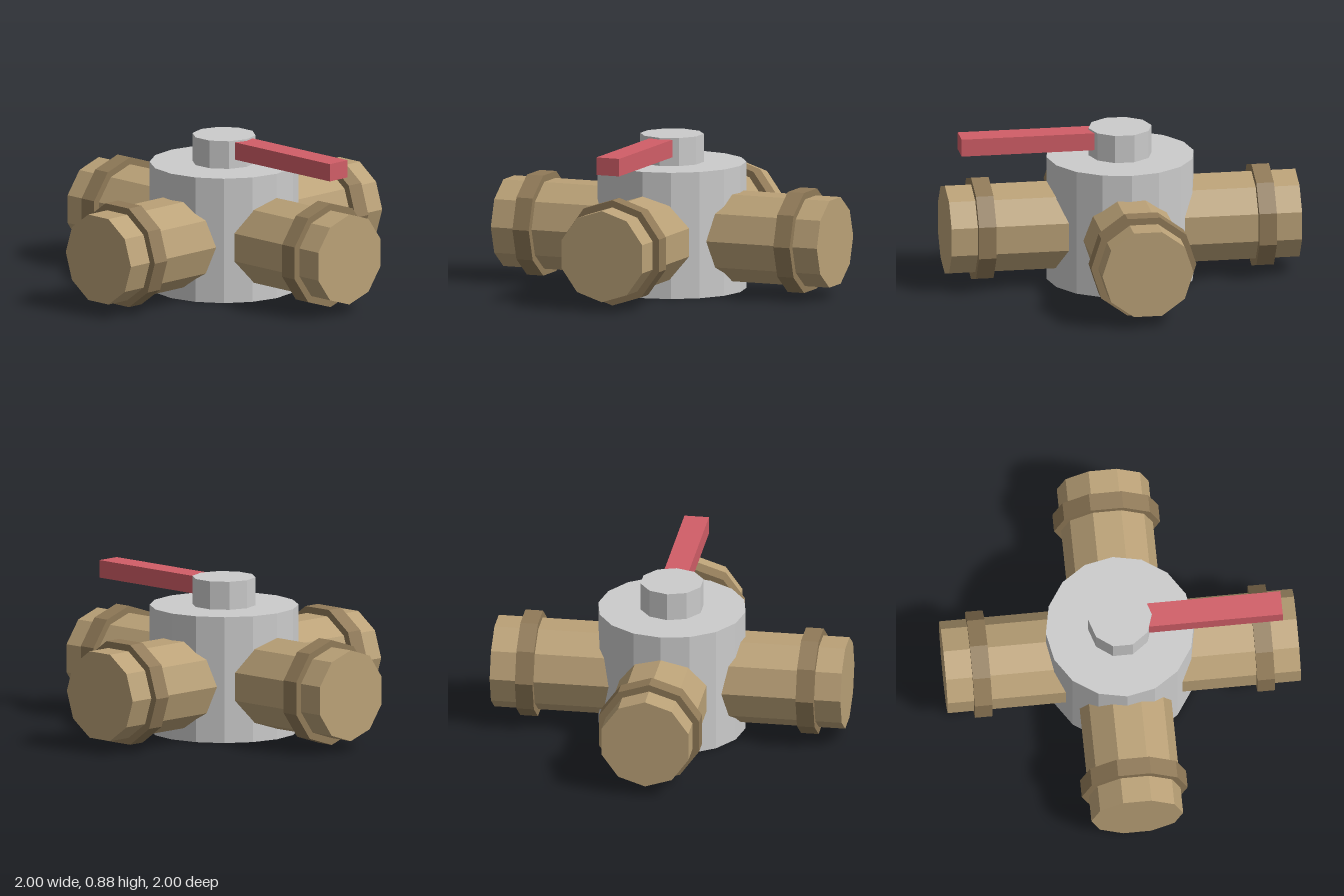
import * as THREE from 'three';

const material = (color) => new THREE.MeshStandardMaterial({ color, flatShading: true });

export function createModel() {
  const model = new THREE.Group();
  const grey = material(0xcccccc);
  const brass = material(0xbaa177);
  const darkBrass = material(0x907a58);
  const red = material(0xd15e67);

  const add = (name, geometry, mat, x, y, z, parent = model) => {
    const mesh = new THREE.Mesh(geometry, mat);
    mesh.name = name;
    mesh.position.set(x, y, z);
    parent.add(mesh);
    return mesh;
  };
  // Upright prism with a corner pointing along x
  const prism = (radius, height, sides) =>
    new THREE.CylinderGeometry(radius, radius, height, sides).rotateY(Math.PI / 2);

  // Valve body and the hub on top of it
  add('body', prism(0.42, 0.72, 16), grey, 0, 0.36, 0);
  add('hub', prism(0.18, 0.16, 10), grey, 0, 0.8, 0);

  // Lever, its inner end buried in the hub
  add('handle', new THREE.BoxGeometry(0.815, 0.1, 0.14), red, 0.5075, 0.82, 0);

  // Two crossing pipes, each with a collar near both ends
  const pipeRun = (name, rotX, rotZ) => {
    const run = new THREE.Group();
    run.name = name;
    run.position.y = 0.32;
    run.rotation.set(rotX, 0, rotZ);
    add('pipe', prism(0.26, 2, 10), brass, 0, 0, 0, run);
    for (const side of [-1, 1]) {
      add('collar', prism(0.3, 0.1, 10), darkBrass, 0, side * 0.8, 0, run);
    }
    model.add(run);
  };
  pipeRun('sidePipes', 0, Math.PI / 2);
  pipeRun('frontBackPipes', Math.PI / 2, 0);

  return model;
}
